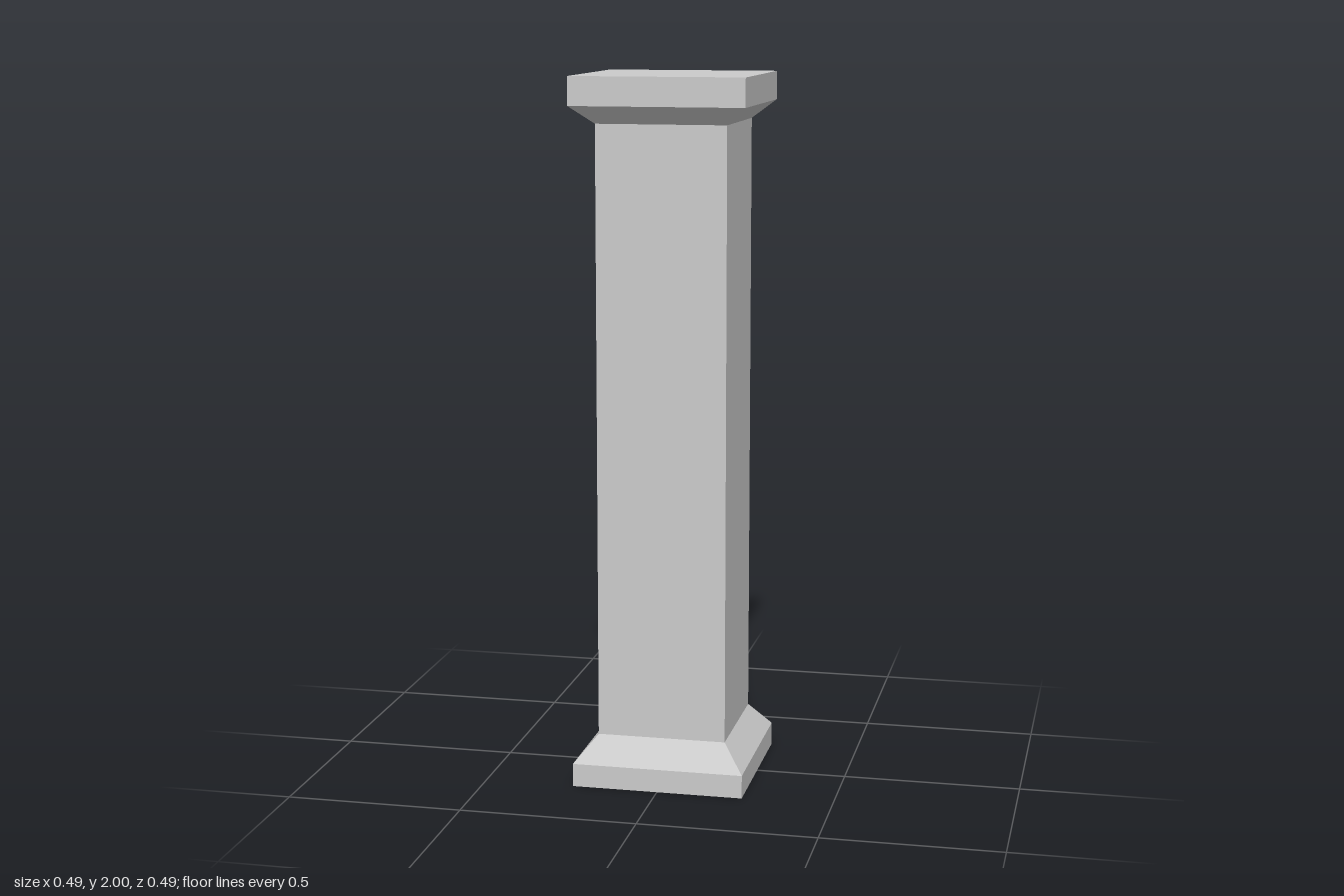
import * as THREE from 'three';

const OUTER = 0.244; // half width of plinth and top slab
const SHAFT = 0.183; // half width of shaft

// Square block between two heights, with its own half width at each end
function squareBlock(name, y0, y1, half0, half1, openEnded, material) {
  const geometry = new THREE.CylinderGeometry(
    half1 * Math.SQRT2, half0 * Math.SQRT2, y1 - y0, 4, 1, openEnded);
  geometry.rotateY(Math.PI / 4);
  geometry.translate(0, (y0 + y1) / 2, 0);
  const mesh = new THREE.Mesh(geometry, material);
  mesh.name = name;
  return mesh;
}

export function createModel() {
  const material = new THREE.MeshStandardMaterial({ color: 0xcccccc, flatShading: true });
  const column = new THREE.Group();
  column.name = 'column';

  column.add(
    // Base: flat plinth with a sloped collar
    squareBlock('plinth', 0, 0.066, OUTER, OUTER, false, material),
    squareBlock('baseSlope', 0.066, 0.14, OUTER, SHAFT, true, material),
    // Plain square shaft
    squareBlock('shaft', 0.14, 1.87, SHAFT, SHAFT, true, material),
    // Capital: flared collar under a flat slab
    squareBlock('capitalSlope', 1.87, 1.92, SHAFT, OUTER, true, material),
    squareBlock('topSlab', 1.92, 2, OUTER, OUTER, false, material),
  );
  return column;
}
